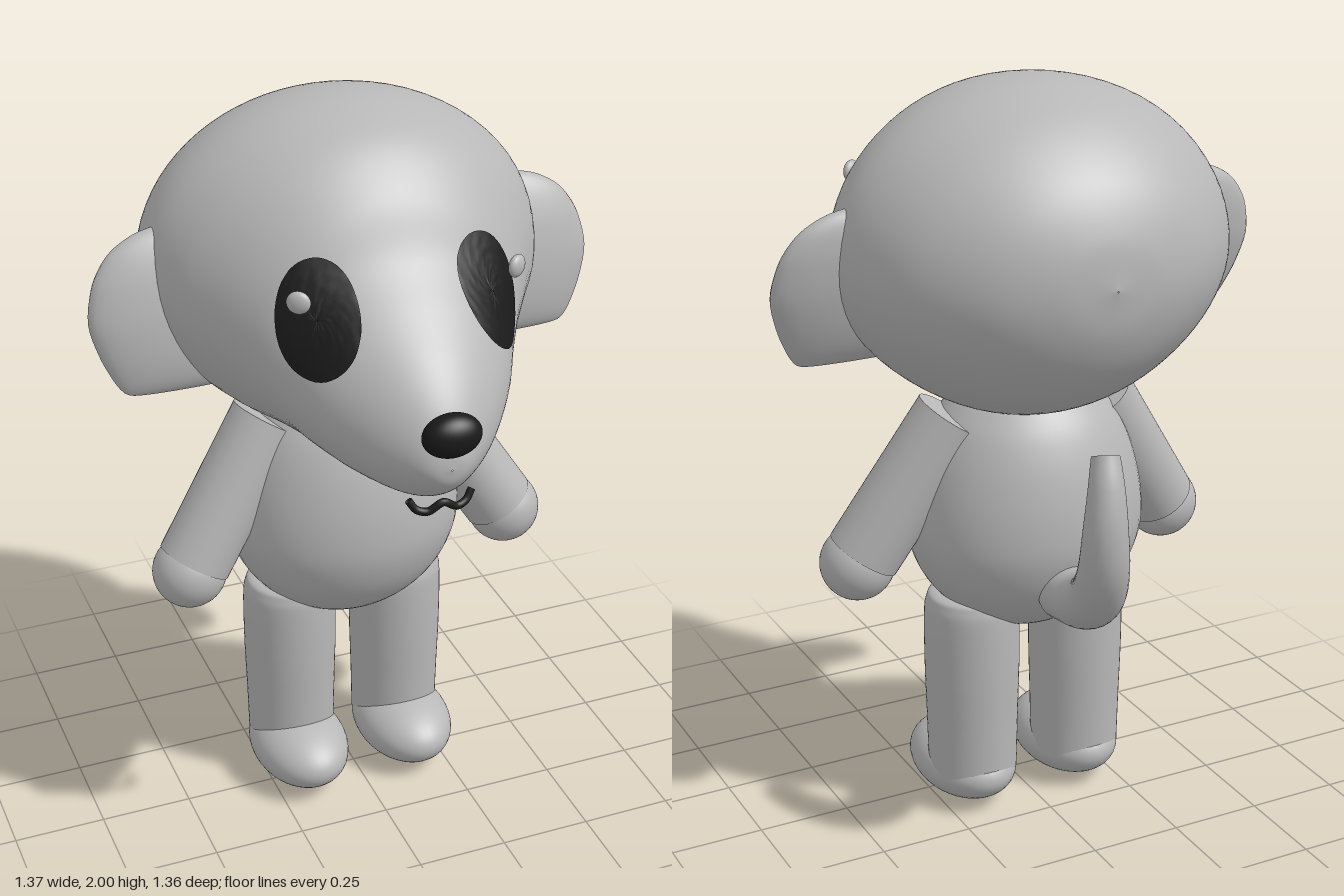
import * as THREE from 'three';

const fur = new THREE.MeshStandardMaterial({ color: 0xb8b8b8 });
fur.name = 'grey fur';
const black = new THREE.MeshStandardMaterial({ color: 0x1a1a1a, side: THREE.DoubleSide });
black.name = 'black';
const V = (x, y, z) => new THREE.Vector3(x, y, z);

function add(parent, name, geometry, material = fur) {
  const mesh = new THREE.Mesh(geometry, material);
  mesh.name = name;
  parent.add(mesh);
  return mesh;
}

// Skin over closed rings of points
function loft(rings) {
  const n = rings[0].length, index = [];
  for (let i = 0; i < rings.length - 1; i++) {
    for (let j = 0; j < n; j++) {
      const k = (j + 1) % n;
      const a = i * n + j, b = i * n + k, c = b + n, d = a + n;
      index.push(a, b, c, a, c, d);
    }
  }
  const g = new THREE.BufferGeometry().setFromPoints(rings.flat());
  g.setIndex(index);
  g.computeVertexNormals();
  return g;
}

function ellipsoid(parent, name, center, radii, material) {
  const mesh = add(parent, name, new THREE.SphereGeometry(1, 40, 28), material);
  mesh.position.copy(center);
  mesh.scale.copy(radii);
  return mesh;
}

function limb(parent, name, from, to, r0, r1) {
  const dir = to.clone().sub(from);
  const mesh = add(parent, name, new THREE.CylinderGeometry(r1, r0, dir.length(), 40));
  mesh.position.copy(from).add(to).multiplyScalar(0.5);
  mesh.quaternion.setFromUnitVectors(V(0, 1, 0), dir.normalize());
  return mesh;
}

// Head sections from back to muzzle tip: z, half width, top, bottom
const HEAD = [
  [-0.567, 0.002, 1.568, 1.564], [-0.545, 0.16, 1.697, 1.435], [-0.48, 0.31, 1.82, 1.316],
  [-0.36, 0.44, 1.926, 1.21], [-0.22, 0.512, 1.985, 1.147], [-0.09, 0.53, 2.0, 1.135],
  [0.04, 0.49, 1.98, 1.138], [0.14, 0.425, 1.937, 1.15], [0.24, 0.355, 1.845, 1.157],
  [0.32, 0.305, 1.725, 1.16], [0.42, 0.25, 1.63, 1.168], [0.52, 0.175, 1.537, 1.185],
  [0.59, 0.105, 1.45, 1.225], [0.63, 0.05, 1.365, 1.27], [0.64, 0.002, 1.318, 1.314],
];
const spline = (f) => new THREE.CatmullRomCurve3(HEAD.map(f), false, 'catmullrom');
const upper = spline(([z, w, top]) => V(z, w, top));
const lower = spline(([z, w, , bottom]) => V(z, w, bottom));
function headSection(t) {
  const u = upper.getPoint(t), b = lower.getPoint(t).z;
  return { z: u.x, w: Math.max(u.y, 0.001), cy: (u.z + b) / 2, h: Math.max((u.z - b) / 2, 0.001) };
}
// The cheeks narrow towards the jaw
const jaw = (sin) => 1 - 0.12 * Math.min(0, sin) ** 2;

function headGeometry() {
  const rings = [];
  for (let i = 0; i <= 112; i++) {
    const { z, w, cy, h } = headSection(i / 112);
    rings.push(Array.from({ length: 72 }, (_, j) => {
      const a = (j / 72) * Math.PI * 2, s = Math.sin(a);
      return V(Math.cos(a) * w * jaw(s), cy + s * h, z);
    }));
  }
  return loft(rings);
}

// Depth of the face at a point seen from the front
const samples = Array.from({ length: 601 }, (_, i) => headSection(1 - i / 600));
function faceZ(x, y) {
  for (const { z, w, cy, h } of samples) {
    const s = (y - cy) / h;
    if (Math.abs(s) <= 1 && (x / (w * jaw(s))) ** 2 + s * s <= 1) return z;
  }
  return 0;
}

// Slanted egg-shaped patch laid on the face
function eyeGeometry(side) {
  const rings = [];
  for (let i = 0; i <= 12; i++) {
    const k = 1 - i / 12;
    rings.push(Array.from({ length: 48 }, (_, j) => {
      const a = (j / 48) * Math.PI * 2 * side;
      const along = 0.136 * Math.cos(a) * k;
      const across = 0.082 * Math.sin(a) * (1 - 0.16 * Math.cos(a)) * k;
      const x = 0.223 + along * 0.35 + across * 0.937;
      const y = 1.612 - along * 0.937 + across * 0.35;
      return V(side * (x + 0.006), y + 0.003, faceZ(x, y) + 0.008);
    }));
  }
  return loft(rings);
}

// Ear rows: height, outer edge
const EAR = [
  [1.3, 0.56], [1.305, 0.6], [1.325, 0.622], [1.36, 0.642], [1.42, 0.667], [1.5, 0.685],
  [1.58, 0.67], [1.63, 0.645], [1.67, 0.61], [1.7, 0.56], [1.715, 0.51], [1.72, 0.46],
];
function earGeometry(side) {
  const curve = new THREE.SplineCurve(EAR.map(([y, x]) => new THREE.Vector2(y, x)));
  const rings = [];
  for (let i = 0; i <= 44; i++) {
    const p = curve.getPoint(i / 44);
    const thick = 0.066 * Math.sqrt(Math.max(0.0004, 1 - ((p.x - 1.51) / 0.212) ** 2));
    const z = -0.06 - (p.x - 1.51) * 0.19;
    rings.push(Array.from({ length: 36 }, (_, j) => {
      const a = (j / 36) * Math.PI * 2 * side;
      return V(side * (0.44 + Math.cos(a) * (p.y - 0.44)), p.x, z - Math.sin(a) * thick);
    }));
  }
  return loft(rings);
}

function lathe(profile, steps) {
  const curve = new THREE.SplineCurve(profile.map(([r, y]) => new THREE.Vector2(r, y)));
  const points = curve.getPoints(steps);
  points.forEach((p) => { p.x = Math.max(p.x, 0); });
  return new THREE.LatheGeometry(points, 56);
}

// Tapered upturned tail with flat ends
function addTail(parent) {
  const tail = new THREE.Group();
  tail.name = 'tail';
  parent.add(tail);
  const path = new THREE.CatmullRomCurve3([
    V(0, 0.685, -0.32), V(0.005, 0.705, -0.43), V(0.03, 0.77, -0.54), V(0.05, 0.87, -0.607),
    V(0.055, 0.98, -0.622), V(0.045, 1.08, -0.605), V(0.03, 1.155, -0.572),
  ]);
  const n = 40, m = 28;
  const radius = (u) => 0.078 - 0.016 * u - 0.026 * u ** 3;
  const g = new THREE.TubeGeometry(path, n, 1, m, false);
  const pos = g.attributes.position;
  for (let i = 0; i < pos.count; i++) {
    const u = Math.floor(i / (m + 1)) / n, c = path.getPointAt(u);
    const p = V(0, 0, 0).fromBufferAttribute(pos, i).sub(c).multiplyScalar(radius(u)).add(c);
    pos.setXYZ(i, p.x, p.y, p.z);
  }
  add(tail, 'tailTube', g);
  for (const u of [0, 1]) {
    const cap = add(tail, 'tailEnd', new THREE.CircleGeometry(radius(u), m));
    cap.position.copy(path.getPointAt(u));
    const out = path.getTangentAt(u).multiplyScalar(u ? 1 : -1);
    cap.quaternion.setFromUnitVectors(V(0, 0, 1), out);
  }
}

export function createModel() {
  const model = new THREE.Group();
  model.name = 'standingAnimal';

  add(model, 'head', headGeometry());
  ellipsoid(model, 'nose', V(0, 1.408, 0.633), V(0.076, 0.056, 0.047), black);

  // Curled mouth line
  const mouth = new THREE.CatmullRomCurve3([
    V(-0.083, 1.213, 0.572), V(-0.065, 1.188, 0.58), V(-0.038, 1.181, 0.587), V(0, 1.202, 0.592),
    V(0.038, 1.181, 0.587), V(0.065, 1.188, 0.58), V(0.083, 1.213, 0.572),
  ]);
  add(model, 'mouth', new THREE.TubeGeometry(mouth, 40, 0.01, 10, false), black);

  // Egg-shaped torso
  const body = add(model, 'body', lathe([
    [0, 0.512], [0.11, 0.535], [0.21, 0.595], [0.28, 0.675], [0.318, 0.77], [0.322, 0.86],
    [0.305, 0.96], [0.27, 1.06], [0.22, 1.14], [0.13, 1.22], [0, 1.25],
  ], 50));
  body.scale.z = 0.86;
  body.position.z = -0.088;
  addTail(model);

  const legGeometry = lathe([
    [0.121, 0.1], [0.124, 0.25], [0.128, 0.4], [0.128, 0.55], [0.122, 0.605], [0.1, 0.63], [0, 0.64],
  ], 36);
  for (const side of [1, -1]) {
    const label = side > 0 ? 'left' : 'right';
    add(model, label + 'Ear', earGeometry(side));
    add(model, label + 'Eye', eyeGeometry(side), black);
    const glint = ellipsoid(model, label + 'EyeGlint', V(side * 0.282, 1.682, 0.365), V(0.03, 0.029, 0.016));
    glint.rotation.y = side * 0.6;
    limb(model, label + 'Arm', V(side * 0.21, 1.13, -0.088), V(side * 0.445, 0.765, -0.032), 0.1, 0.1);
    ellipsoid(model, label + 'Hand', V(side * 0.46, 0.743, -0.028), V(0.1, 0.1, 0.1));
    const leg = add(model, label + 'Leg', legGeometry);
    leg.position.set(side * 0.158, 0, -0.088);
    ellipsoid(model, label + 'Foot', V(side * 0.159, 0.097, -0.027), V(0.134, 0.097, 0.194));
  }
  return model;
}
